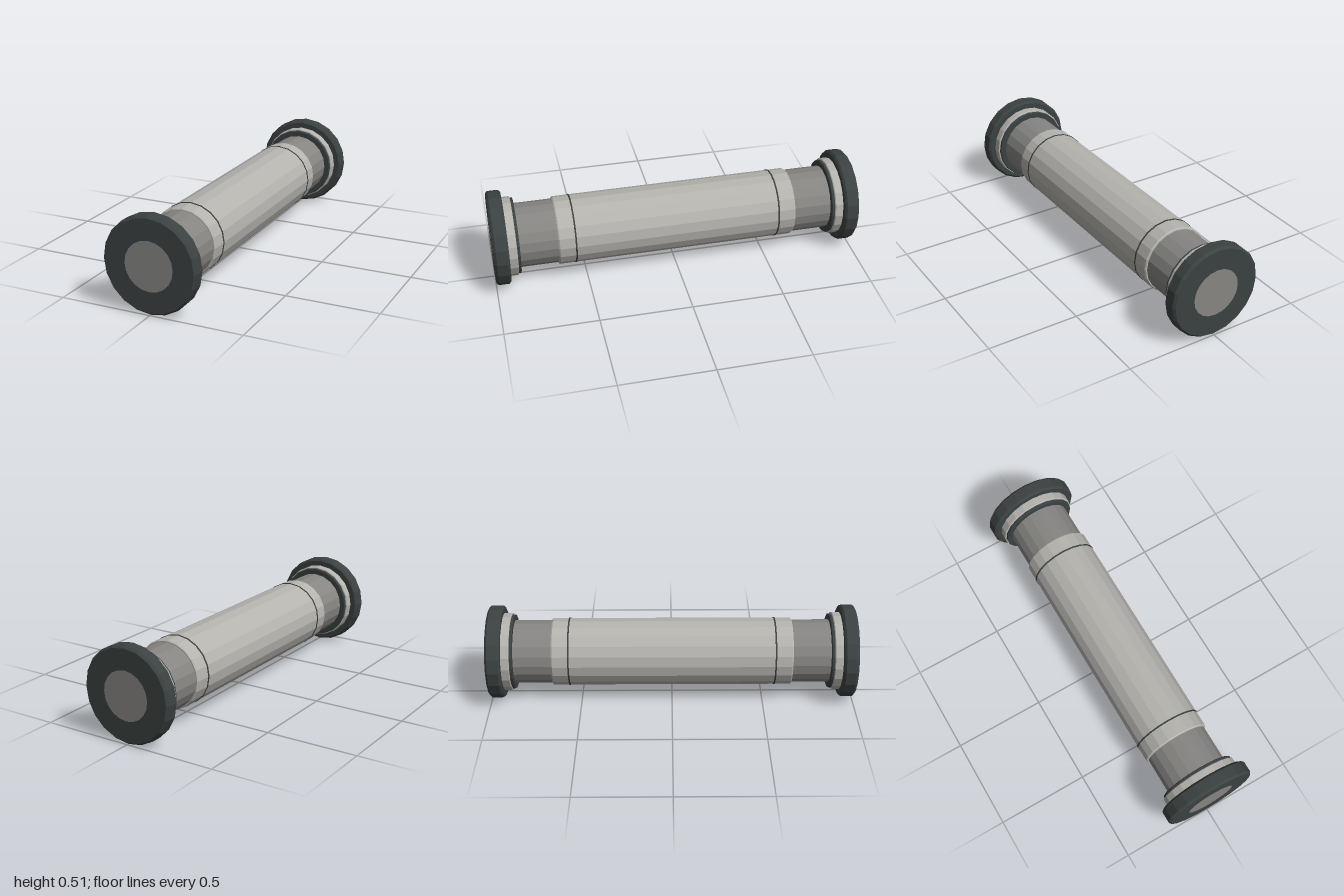
import * as THREE from 'three';

const SIDES = 20;
const AXIS_Y = 0.256;

export function createModel() {
  const model = new THREE.Group();
  model.name = 'flangedCylinder';

  const mat = (name, color) => {
    const m = new THREE.MeshStandardMaterial({ color });
    m.name = name;
    return m;
  };
  const lightGrey = mat('lightGrey', 0xb5b3ae);
  const midGrey = mat('midGrey', 0x868582);
  const darkSlate = mat('darkSlate', 0x3b4241);

  // Faceted solid of revolution along z; profile is [radius, z] from back to front
  const turned = (name, profile, material, parent) => {
    const points = profile.map(([r, z]) => new THREE.Vector2(r, z));
    const geo = new THREE.LatheGeometry(points, SIDES).rotateX(Math.PI / 2).toNonIndexed();
    geo.computeVertexNormals();
    const mesh = new THREE.Mesh(geo, material);
    mesh.name = name;
    parent.add(mesh);
  };

  // Main barrel with softened ends
  turned('barrel', [
    [0.17, -0.655], [0.18, -0.655], [0.185, -0.648],
    [0.185, 0.648], [0.18, 0.655], [0.17, 0.655],
  ], lightGrey, model);

  // Each end: seam, neck, collars and flange
  for (const side of ['front', 'back']) {
    const end = new THREE.Group();
    end.name = side + 'End';
    if (side === 'back') end.rotation.y = Math.PI;

    turned('seamBand', [[0.184, 0.557], [0.1875, 0.557], [0.1875, 0.565], [0.184, 0.565]], darkSlate, end);
    turned('neck', [[0.174, 0.64], [0.174, 0.875]], midGrey, end);
    turned('darkCollar', [[0.17, 0.86], [0.203, 0.86], [0.206, 0.863], [0.206, 0.876]], darkSlate, end);
    turned('lightCollar', [[0.2, 0.875], [0.21, 0.875], [0.214, 0.879], [0.214, 0.925]], lightGrey, end);
    turned('flange', [
      [0.2, 0.92], [0.244, 0.92], [0.255, 0.931],
      [0.255, 0.988], [0.244, 1], [0.132, 1],
    ], darkSlate, end);

    // Flush inset disc on the outer face
    const disc = new THREE.Mesh(new THREE.CircleGeometry(0.132, SIDES), midGrey);
    disc.name = 'endDisc';
    disc.position.z = 1;
    end.add(disc);
    model.add(end);
  }

  for (const part of model.children) part.position.y = AXIS_Y;
  return model;
}
